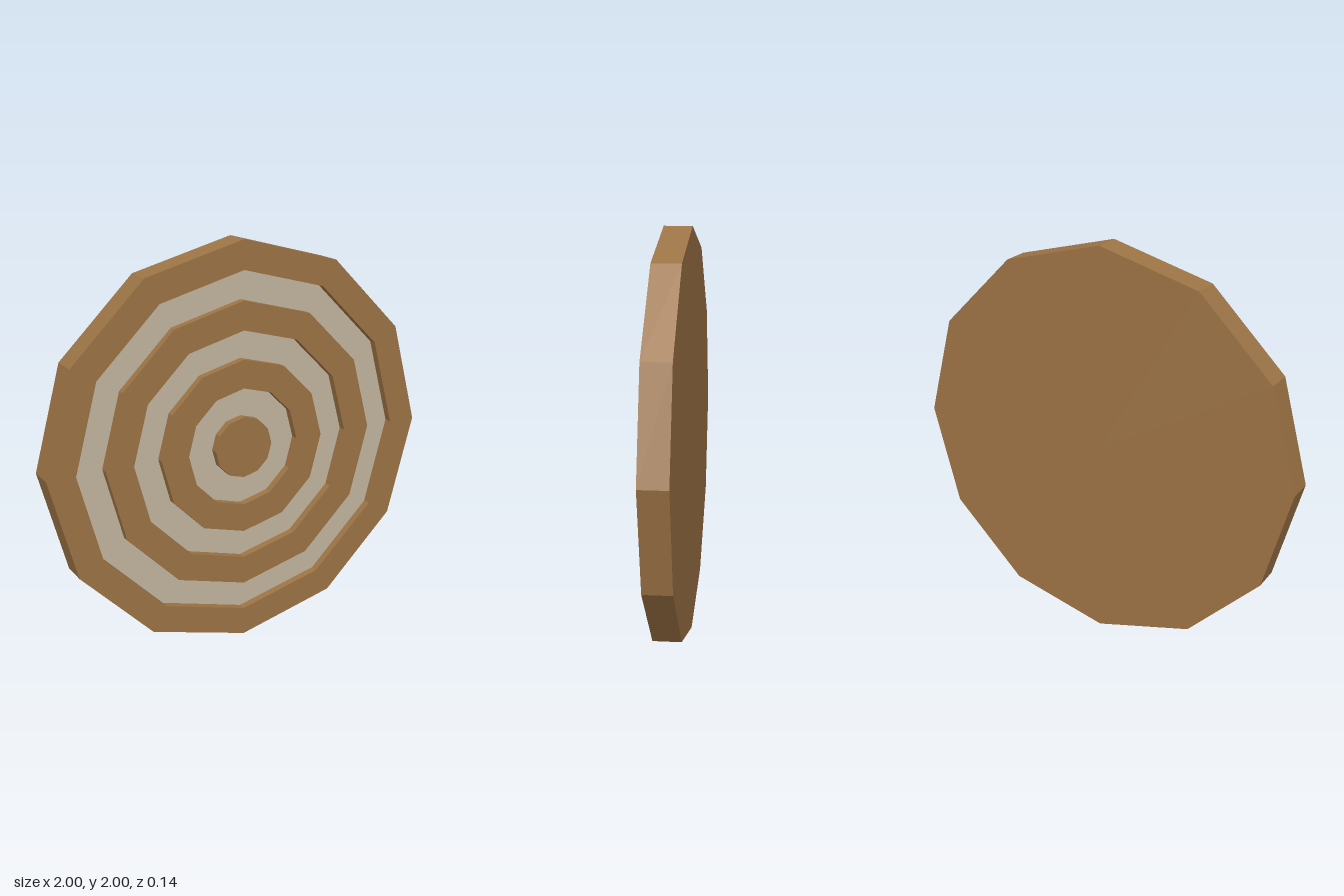
import * as THREE from 'three';

const SIDES = 12;
const HALF = 0.068; // half thickness
const FLOOR = HALF - 0.04; // depth of the grooves
const RADII = [1, 0.859, 0.717, 0.576, 0.436, 0.295, 0.152];

// Faceted lathe whose axis points to the front (+z); points are [radius, z]
function facetedLathe(points) {
  const profile = points.map(([r, z]) => new THREE.Vector2(r, z));
  const geometry = new THREE.LatheGeometry(profile, SIDES).rotateX(Math.PI / 2).toNonIndexed();
  geometry.computeVertexNormals();
  return geometry;
}

export function createModel() {
  const wood = new THREE.MeshStandardMaterial({ color: 0x9c7345 });
  wood.name = 'wood brown';
  const cream = new THREE.MeshStandardMaterial({ color: 0xc4b69f });
  cream.name = 'pale cream';

  const model = new THREE.Group();
  model.name = 'target';
  const add = (name, geometry, material) => {
    const mesh = new THREE.Mesh(geometry, material);
    mesh.name = name;
    mesh.position.y = 1;
    model.add(mesh);
  };

  // Back, rim and outer ring in one piece
  add('outerBody', facetedLathe([
    [0, -HALF], [1, -HALF], [1, HALF], [RADII[1], HALF], [RADII[1], FLOOR],
  ]), wood);

  // Sunken cream bands, each followed by a raised wooden ring
  for (let i = 1; i < RADII.length; i += 2) {
    const outer = RADII[i], inner = RADII[i + 1], next = RADII[i + 2];
    const band = new THREE.RingGeometry(inner, outer, SIDES).translate(0, 0, FLOOR);
    add('creamBand' + (i + 1) / 2, band, cream);
    const top = [[inner, FLOOR], [inner, HALF]];
    if (next) {
      add('woodRing' + (i + 1) / 2, facetedLathe([...top, [next, HALF], [next, FLOOR]]), wood);
    } else {
      add('bullseye', facetedLathe([...top, [0, HALF]]), wood);
    }
  }
  return model;
}
